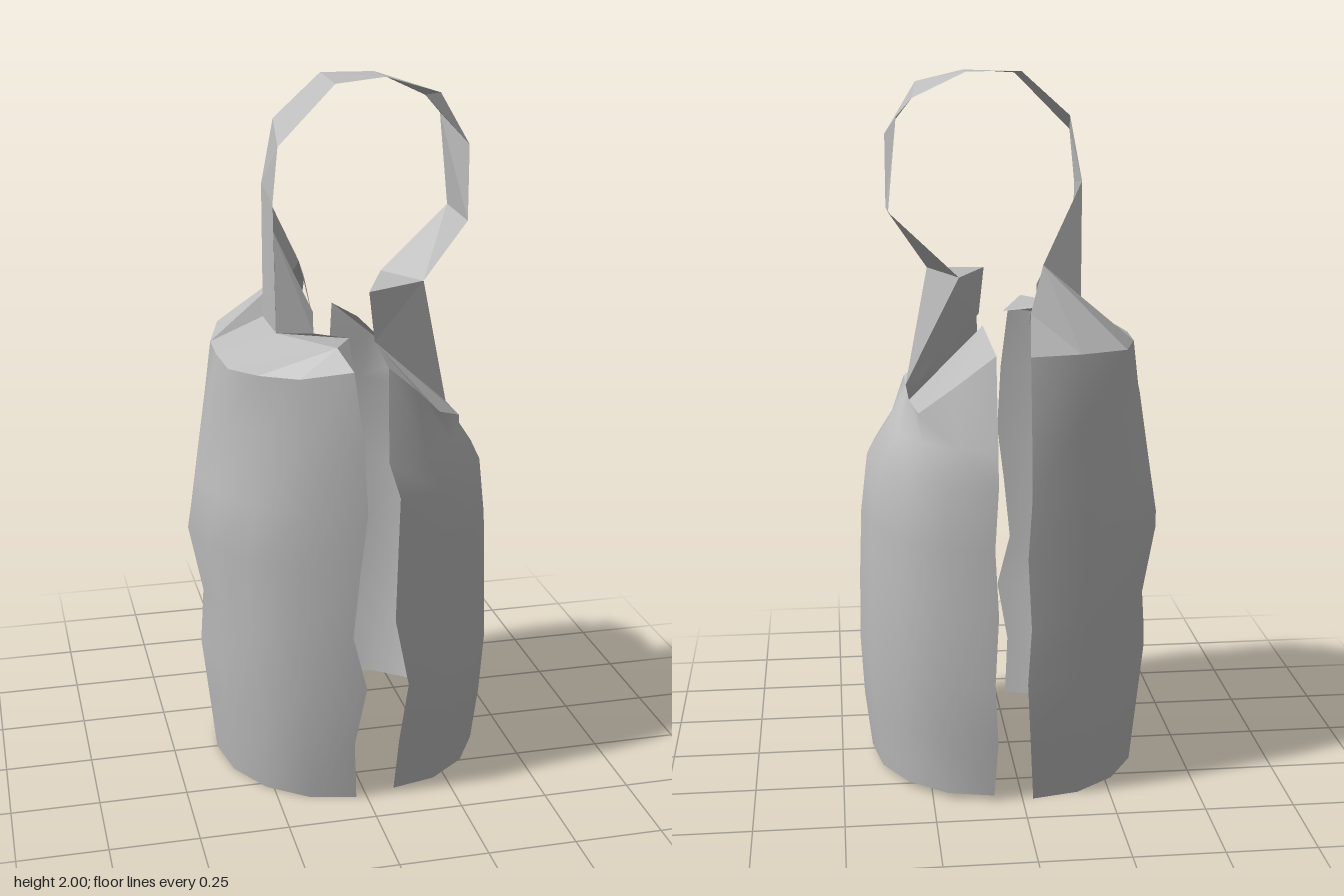
import * as THREE from 'three';

const COLS = 9;

export function createModel() {
  const group = new THREE.Group();
  const grey = new THREE.MeshStandardMaterial({ color: 0xbcbcbc, side: THREE.DoubleSide });
  grey.name = 'plainGrey';

  // Open sheet from rows of equal point count; smooth or faceted
  function sheet(name, rows, smooth, flip) {
    const n = rows[0].length, index = [];
    for (let r = 0; r < rows.length - 1; r++) {
      for (let c = 0; c < n - 1; c++) {
        const a = r * n + c, b = a + 1, d = a + n, e = d + 1;
        if (flip) index.push(a, d, b, b, d, e);
        else index.push(a, b, d, b, e, d);
      }
    }
    let geo = new THREE.BufferGeometry();
    geo.setAttribute('position', new THREE.Float32BufferAttribute(rows.flat(2), 3));
    geo.setIndex(index);
    if (!smooth) geo = geo.toNonIndexed();
    geo.computeVertexNormals();
    const mesh = new THREE.Mesh(geo, grey);
    mesh.name = name;
    group.add(mesh);
  }

  // Single flat facet
  function facet(name, a, b, c) {
    const geo = new THREE.BufferGeometry();
    geo.setAttribute('position', new THREE.Float32BufferAttribute([a, b, c].flat(), 3));
    geo.computeVertexNormals();
    const mesh = new THREE.Mesh(geo, grey);
    mesh.name = name;
    group.add(mesh);
  }

  // Half-oval ring from the front edge round the side to the back edge
  function ring([y, frontX, backX, sideX, depth]) {
    return Array.from({ length: COLS }, (_, i) => {
      const t = (i / (COLS - 1)) * Math.PI;
      const edge = i < COLS / 2 ? frontX : backX;
      return [edge + (sideX - edge) * Math.sin(t), y, depth * Math.cos(t)];
    });
  }

  // Left half shell: y, front edge x, back edge x, side x, depth
  const leftRim = [
    [0.06, 1.27, 0.36], [0.14, 1.2, 0.36], [0.21, 1.13, 0.34],
    [0.29, 1.09, 0.26], [0.29, 1.09, 0.1], [0.29, 1.09, -0.07],
    [0.275, 1.1, -0.28], [0.18, 1.18, -0.33], [0.07, 1.27, -0.36],
  ];
  const leftRows = [
    [0.015, 0.08, 0.08, 0.41, 0.385], [0.18, 0.09, 0.07, 0.43, 0.405],
    [0.36, 0.11, 0.08, 0.44, 0.425], [0.56, 0.07, 0.07, 0.437, 0.425],
    [0.75, 0.075, 0.08, 0.43, 0.425], [0.92, 0.08, 0.07, 0.41, 0.425],
    [1.02, 0.05, 0.07, 0.345, 0.415],
  ].map(ring);
  sheet('leftShell', [...leftRows, leftRim], true, true);

  // Right half shell
  const rightRim = [
    [-0.04, 1.27, 0.385], [-0.18, 1.25, 0.35], [-0.28, 1.25, 0.29],
    [-0.345, 1.245, 0.19], [-0.355, 1.25, 0.05], [-0.35, 1.25, -0.08],
    [-0.3, 1.26, -0.26], [-0.16, 1.27, -0.36], [-0.02, 1.27, -0.385],
  ];
  const rightRows = [
    [0, -0.03, -0.03, -0.37, 0.385], [0.18, -0.04, -0.02, -0.39, 0.405],
    [0.36, -0.01, -0.01, -0.41, 0.425], [0.52, -0.05, -0.02, -0.4, 0.425],
    [0.72, -0.03, -0.01, -0.44, 0.425], [0.88, -0.01, -0.02, -0.415, 0.425],
    [1.08, -0.02, -0.02, -0.385, 0.415],
  ].map(ring);
  sheet('rightShell', [...rightRows, rightRim], true, false);

  // Left shoulders, both sloping down to the side
  const collar = [0.07, 1.29, 0.17], hip = [0.29, 1.09, 0.13];
  const backCollar = [0.08, 1.3, -0.07];
  sheet('leftFrontShoulder', [leftRim.slice(0, 4), [collar, collar, collar, hip]], false, true);
  sheet('leftBackShoulder', [leftRim.slice(5), [backCollar, backCollar, backCollar, backCollar]], false, true);

  // Right shoulders, front and back
  const strapFront = [-0.2, 1.32, 0.13], strapBack = [-0.2, 1.32, -0.06];
  const brow = [-0.07, 1.32, 0.315], spike = [0, 1.3, 0.155], spikeRoot = [-0.1, 1.32, 0.155];
  const peak = [-0.09, 1.47, -0.08], crest = [-0.03, 1.37, -0.29];
  sheet('rightFrontShoulder', [rightRim.slice(0, 6), [brow, brow, brow, strapFront, strapBack, strapBack]], false, false);
  sheet('rightFrontSpike', [[brow, spike], [strapFront, spikeRoot]], false, false);
  facet('rightFrontEdge', rightRim[0], spike, brow);
  sheet('rightBackShoulder', [rightRim.slice(5), [peak, peak, crest, crest]], false, false);
  facet('rightBackEdge', peak, crest, [-0.05, 1.3, -0.08]);

  // Carrying strap: front edge point, back edge point
  const footFront = [0.225, 1.44, 0.11], footBack = [0.145, 1.435, -0.06];
  const strapTop = [-0.2, 1.7, -0.06];
  sheet('strap', [
    [strapFront, strapBack],
    [[-0.205, 1.68, 0.13], strapTop],
    [[-0.19, 1.83, 0.13], [-0.165, 1.88, -0.06]],
    [[-0.03, 1.99, 0.12], [-0.03, 2, -0.065]],
    [[0.12, 2, 0.08], [0.12, 2, -0.055]],
    [[0.25, 1.965, 0.16], [0.27, 1.93, -0.06]],
    [[0.34, 1.82, 0.14], [0.315, 1.88, -0.065]],
    [[0.34, 1.61, 0.14], [0.34, 1.62, -0.06]],
    [footFront, footBack],
  ], false, false);

  // Webs that join the strap to the shells
  sheet('strapFrontWeb', [[strapFront, spikeRoot], [[-0.203, 1.6, 0.13], [-0.1, 1.38, 0.15]]], false, false);
  facet('strapBackWeb', strapBack, strapTop, peak);
  facet('strapBackGusset', rightRim[5], strapBack, peak);

  // Upright plate under the strap's left foot
  const plateTip = [0.055, 1.43, 0.165];
  sheet('strapPlate', [[plateTip, footFront], [collar, hip]], false, true);
  facet('strapPlateSide', footFront, hip, footBack);
  facet('strapPlateTop', plateTip, footFront, footBack);

  return group;
}
